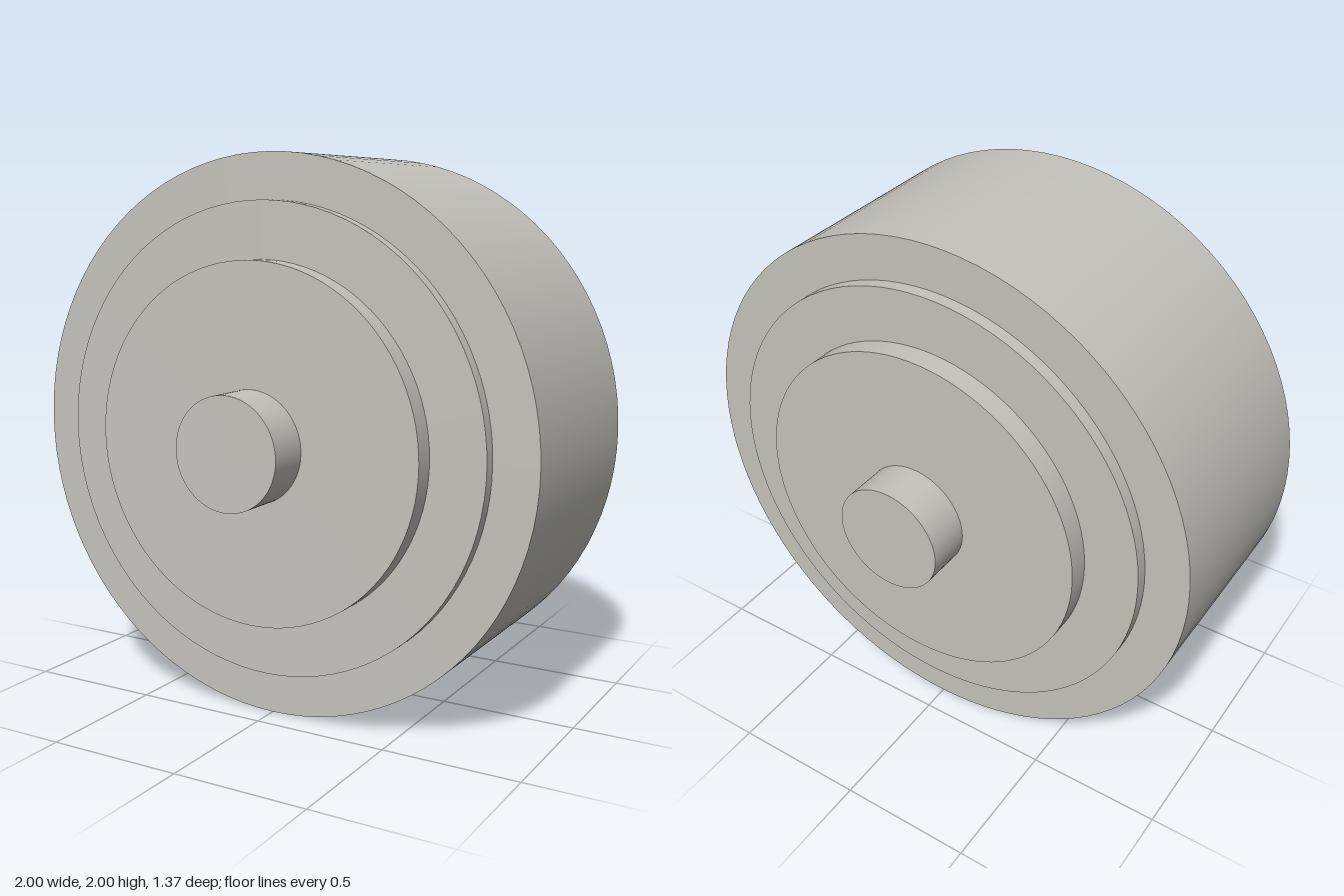
import * as THREE from 'three';

export function createModel() {
  const model = new THREE.Group();
  model.name = 'roller';
  const metal = new THREE.MeshStandardMaterial({ color: 0xc4c3bb });
  metal.name = 'warm grey';

  // Cylinder lying along z, centred on the axle height
  function disc(name, radius, z0, z1) {
    const geometry = new THREE.CylinderGeometry(radius, radius, z1 - z0, 96);
    geometry.rotateX(Math.PI / 2);
    const mesh = new THREE.Mesh(geometry, metal);
    mesh.name = name;
    mesh.position.set(0, 1, (z0 + z1) / 2);
    model.add(mesh);
  }

  // Main drum
  disc('drum', 1, -0.4, 0.4);

  // Stepped flange, hub and axle stub, mirrored on both sides
  const steps = [
    ['Flange', 0.838, 0.4, 0.447],
    ['Hub', 0.638, 0.447, 0.527],
    ['Axle', 0.2, 0.527, 0.687],
  ];
  for (const [name, radius, inner, outer] of steps) {
    disc('front' + name, radius, inner, outer);
    disc('back' + name, radius, -outer, -inner);
  }
  return model;
}
